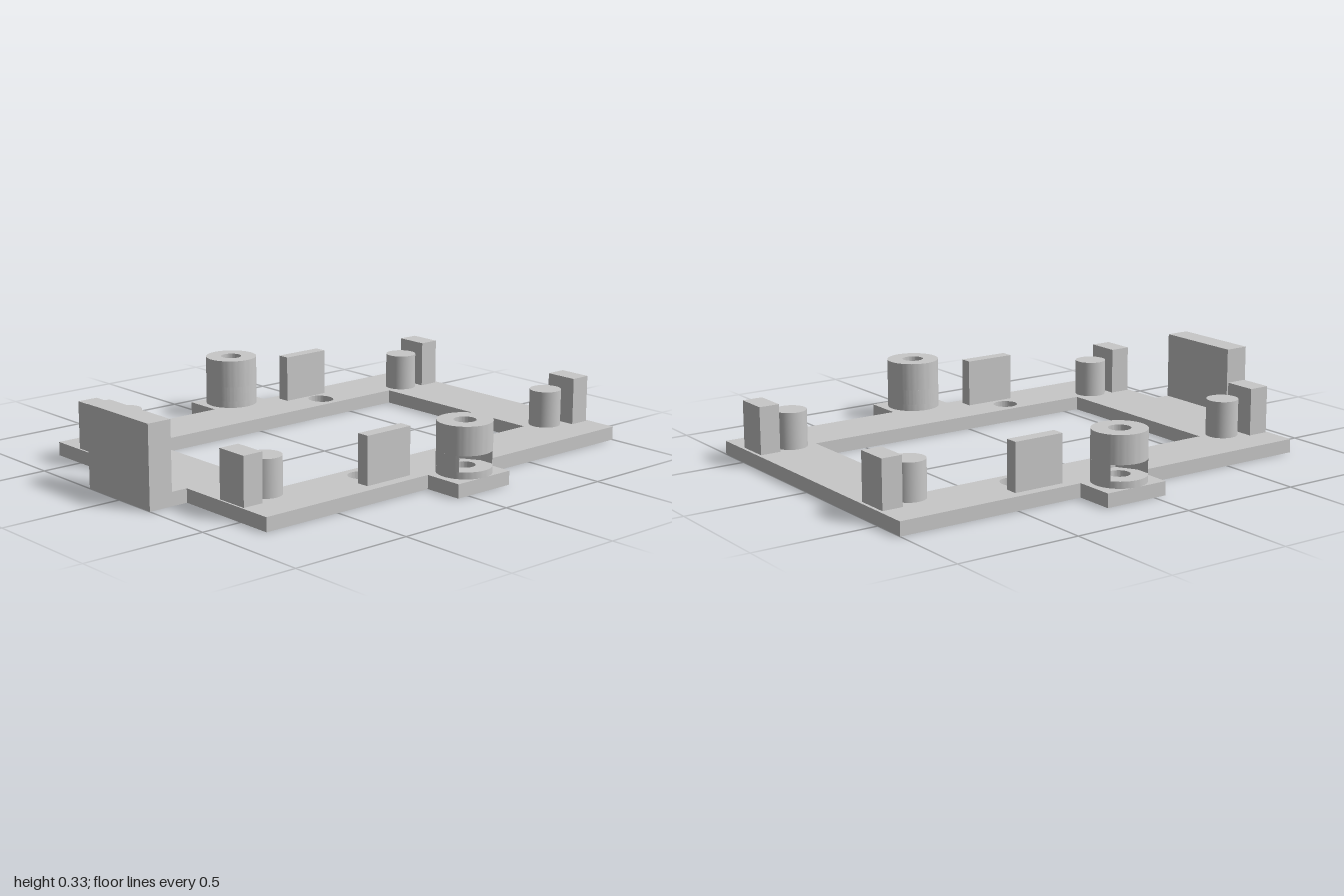
import * as THREE from 'three';
import { toCreasedNormals } from 'three/addons/utils/BufferGeometryUtils.js';

const BASE = 0.055; // plate thickness

export function createModel() {
  const model = new THREE.Group();
  model.name = 'mountingFrame';
  const grey = new THREE.MeshStandardMaterial({ color: 0xc8c8c8 });
  grey.name = 'grey plastic';

  const add = (name, geometry, parent = model) => {
    const mesh = new THREE.Mesh(geometry, grey);
    mesh.name = name;
    parent.add(mesh);
    return mesh;
  };

  // Box given by its limits on each axis
  const block = (name, x0, x1, y0, y1, z0, z1) => {
    const g = new THREE.BoxGeometry(x1 - x0, y1 - y0, z1 - z0);
    g.translate((x0 + x1) / 2, (y0 + y1) / 2, (z0 + z1) / 2);
    return add(name, g);
  };

  // Plan shape (shape y = -z) raised from y0 to y1
  const slab = (shape, y0, y1) => {
    const g = new THREE.ExtrudeGeometry(shape, { depth: y1 - y0, bevelEnabled: false, curveSegments: 40 });
    g.rotateX(-Math.PI / 2);
    g.translate(0, y0, 0);
    return toCreasedNormals(g, 0.5);
  };

  const vectors = (points) => points.map(([x, y]) => new THREE.Vector2(x, y));
  const hole = (x, z, rx, rz = rx) => new THREE.Path().absellipse(x, -z, rx, rz, 0, Math.PI * 2, true);

  // Base plate with side tabs, window and screw holes (outline anticlockwise, holes clockwise)
  const half = [
    [-0.9, 0.19], [-0.833, 0.19], [-0.833, 0.646], [-0.052, 0.646], [-0.052, 0.807],
    [0.218, 0.807], [0.218, 0.646], [1, 0.646],
  ];
  const plate = new THREE.Shape(vectors([...half.map(([x, y]) => [x, -y]), ...half.reverse()]));
  plate.holes.push(
    new THREE.Path(vectors([[-0.567, -0.403], [-0.567, 0.403], [0.73, 0.403], [0.73, -0.403]])),
    hole(0.083, 0.701, 0.043), hole(0.083, -0.701, 0.043),
    hole(0.406, -0.489, 0.051, 0.058), hole(-0.243, 0.483, 0.05),
  );
  add('basePlate', slab(plate, 0, BASE));

  // Tall end wall
  block('endWall', -1, -0.9, 0, 0.328, -0.19, 0.19);

  // Corner posts and pegs
  for (const s of [-1, 1]) {
    for (const [x0, x1] of [[-0.825, -0.739], [0.903, 0.987]]) {
      const z = s * 0.444;
      block('cornerPost', x0, x1, BASE, 0.246, z - 0.068, z + 0.068);
    }
    for (const x of [-0.66, 0.824]) {
      const peg = new THREE.CylinderGeometry(0.064, 0.064, 0.203 - BASE, 40);
      add('peg', peg).position.set(x, (0.203 + BASE) / 2, s * 0.43);
    }
  }

  // Upright guide plates on the long sides
  block('frontGuide', -0.32, -0.105, BASE, 0.246, 0.553, 0.604);
  block('backGuide', 0.273, 0.484, BASE, 0.246, -0.607, -0.555);

  // Screw bosses with an outward-facing hexagonal nut slot
  const R = 0.107, nut = 0.088;
  const ring = new THREE.Shape().absarc(0, 0, R, 0, Math.PI * 2, false);
  ring.holes.push(hole(0, 0, 0.043));
  const a = Math.acos(nut / R);
  const slot = new THREE.Shape().absarc(0, 0, R, a, Math.PI - a, true);
  slot.lineTo(-nut, 0);
  slot.lineTo(-nut / 2, -0.076);
  slot.lineTo(nut / 2, -0.076);
  slot.lineTo(nut, 0);
  slot.closePath();
  for (const s of [-1, 1]) {
    const boss = new THREE.Group();
    boss.name = s > 0 ? 'frontBoss' : 'backBoss';
    add('bossFoot', slab(ring, BASE, 0.082), boss);
    add('nutSlot', slab(slot, 0.082, 0.144), boss);
    add('bossTop', slab(ring, 0.144, 0.257), boss);
    boss.position.set(0.083, 0, s * 0.701);
    boss.rotation.y = s > 0 ? Math.PI : 0;
    model.add(boss);
  }

  return model;
}
